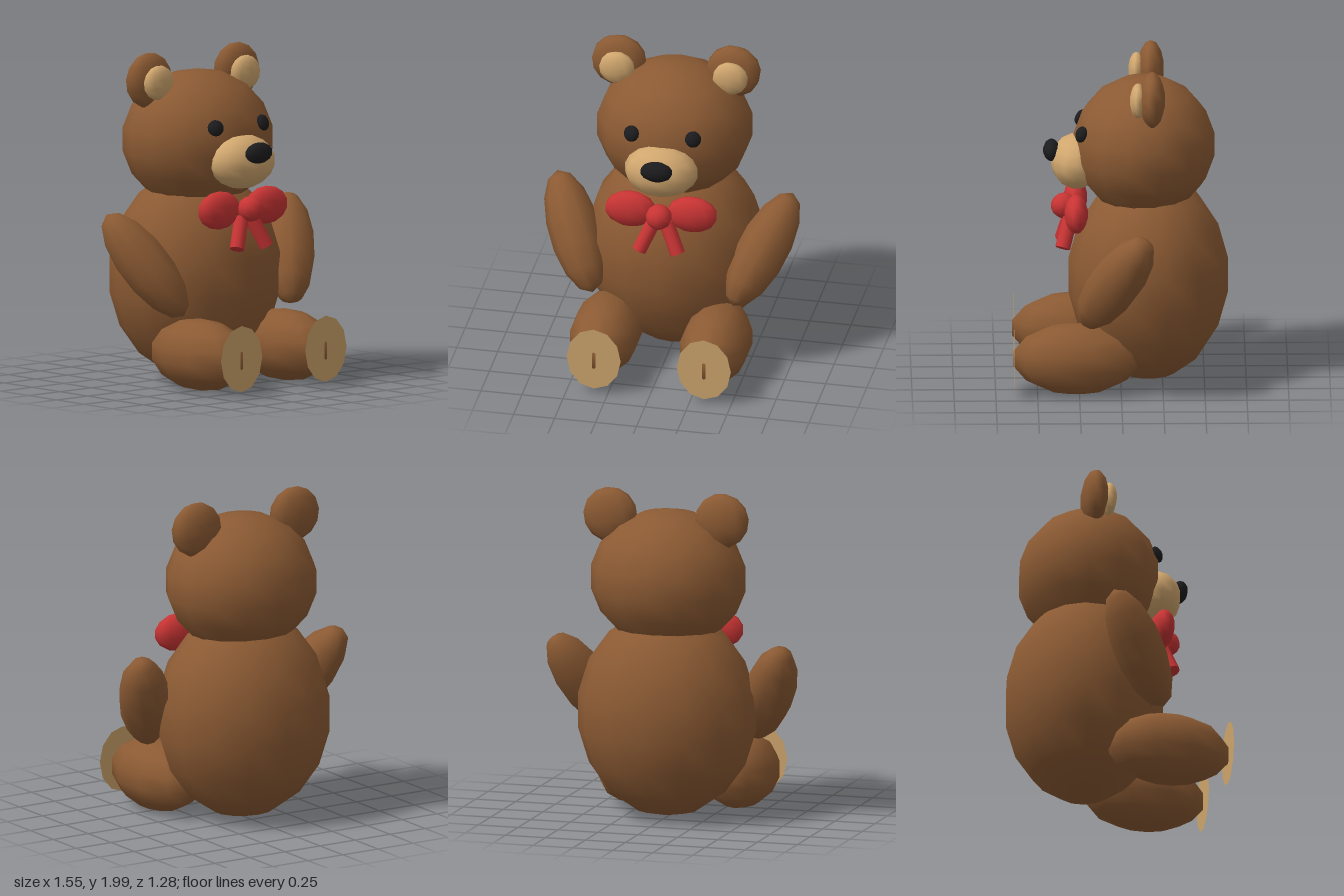
import * as THREE from 'three';

function material(name, color) {
  const m = new THREE.MeshStandardMaterial({ color });
  m.name = name;
  return m;
}

export function createModel() {
  const bear = new THREE.Group();
  bear.name = 'teddyBear';

  const fur = material('brown fur', 0x8b5a33);
  const tan = material('tan fabric', 0xd0a66e);
  const black = material('black', 0x1c1c1e);
  const red = material('red ribbon', 0xc93434);
  const sole = material('tan sole', 0xcda56c);
  sole.side = THREE.DoubleSide;

  // Stretched sphere with a column of vertices facing the front
  function ellipsoid(name, mat, pos, radii, segs = 10, rings = 7) {
    const geo = new THREE.SphereGeometry(1, segs, rings);
    geo.rotateY(Math.PI / 2);
    geo.scale(...radii);
    const mesh = new THREE.Mesh(geo, mat);
    mesh.name = name;
    mesh.position.set(...pos);
    bear.add(mesh);
    return mesh;
  }

  // Turn a part so that its y axis follows a direction
  const up = new THREE.Vector3(0, 1, 0);
  const aim = (mesh, x, y, z) =>
    mesh.quaternion.setFromUnitVectors(up, new THREE.Vector3(x, y, z).normalize());

  // Torso and head
  ellipsoid('body', fur, [0, 0.65, -0.165], [0.545, 0.632, 0.483], 14, 9);
  ellipsoid('head', fur, [0, 1.46, -0.14], [0.474, 0.42, 0.427], 14, 9);

  // Face
  ellipsoid('muzzle', tan, [0, 1.36, 0.262], [0.225, 0.163, 0.156], 12, 9);
  ellipsoid('nose', black, [0, 1.427, 0.413], [0.1, 0.064, 0.051]);

  for (const [side, s] of [['left', 1], ['right', -1]]) {
    // Eyes lie against the head
    const eye = ellipsoid(side + 'Eye', black, [s * 0.188, 1.575, 0.236], [0.05, 0.05, 0.032]);
    eye.rotation.set(-0.35, s * 0.4, 0, 'YXZ');

    // Ears
    const ear = ellipsoid(side + 'Ear', fur, [s * 0.349, 1.835, -0.185], [0.17, 0.167, 0.079]);
    ear.rotation.z = -s * 0.15;
    const inner = ellipsoid(side + 'InnerEar', tan, [s * 0.346, 1.828, -0.1], [0.11, 0.105, 0.05]);
    inner.rotation.z = -s * 0.15;

    // Arms lean outward and back at the top
    const arm = ellipsoid(side + 'Arm', fur, [s * 0.573, 0.763, 0.036], [0.158, 0.382, 0.158]);
    aim(arm, s * 0.38, 0.784, -0.485);

    // Legs with flat soles
    ellipsoid(side + 'Leg', fur, [s * 0.336, 0.227, 0.268], [0.212, 0.217, 0.385]);
    const pad = new THREE.Mesh(new THREE.CircleGeometry(1, 12), sole);
    pad.name = side + 'Sole';
    pad.scale.set(0.165, 0.2, 1);
    pad.position.set(s * 0.336, 0.238, 0.637);
    bear.add(pad);

    // Bow loops and tails
    ellipsoid(side + 'BowLoop', red, [s * 0.188, 1.082, 0.267], [0.158, 0.115, 0.071]);
    const tail = new THREE.Mesh(new THREE.CylinderGeometry(0.045, 0.045, 0.2, 10), red);
    tail.name = side + 'BowTail';
    tail.position.set(s * 0.078, 0.938, 0.323);
    aim(tail, -s * 0.08, 0.18, -0.05);
    bear.add(tail);
  }
  ellipsoid('bowKnot', red, [0, 1.082, 0.338], [0.08, 0.077, 0.08]);

  return bear;
}
